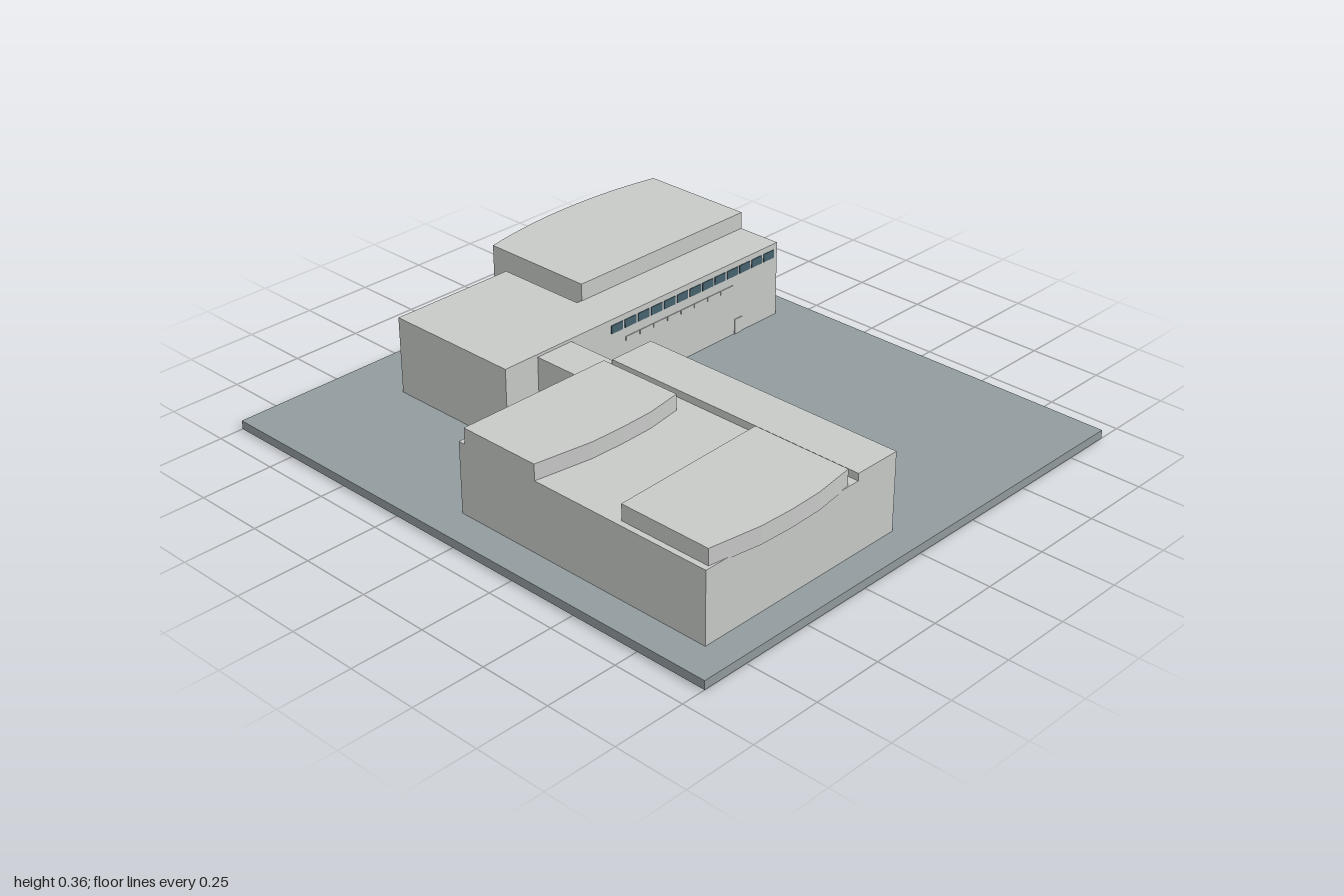
import * as THREE from 'three';

export function createModel() {
  const root = new THREE.Group();
  const mat = (name, color) => {
    const m = new THREE.MeshStandardMaterial({ color });
    m.name = name;
    return m;
  };
  const wall = mat('pale wall', 0xc8cac8);
  const paving = mat('paving', 0x919b9d);
  const glass = mat('glass', 0x46636e);

  const group = (name) => {
    const g = new THREE.Group();
    g.name = name;
    root.add(g);
    return g;
  };
  const add = (parent, name, geo, m) => {
    const mesh = new THREE.Mesh(geo, m);
    mesh.name = name;
    parent.add(mesh);
    return mesh;
  };
  // box given by its minimum and maximum on each axis
  const block = (parent, name, x0, x1, y0, y1, z0, z1, m = wall) => {
    const mesh = add(parent, name, new THREE.BoxGeometry(x1 - x0, y1 - y0, z1 - z0), m);
    mesh.position.set((x0 + x1) / 2, (y0 + y1) / 2, (z0 + z1) / 2);
    return mesh;
  };
  // flat slab from an outline of [x, z] points
  const slab = (parent, name, pts, y0, y1) => {
    const shape = new THREE.Shape(pts.map(([x, z]) => new THREE.Vector2(x, -z)));
    const geo = new THREE.ExtrudeGeometry(shape, { depth: y1 - y0, bevelEnabled: false });
    geo.rotateX(-Math.PI / 2);
    geo.translate(0, y0, 0);
    return add(parent, name, geo, wall);
  };

  const G = 0.03;
  block(root, 'ground', -0.915, 0.915, 0, G, -1, 1, paving);

  // South wing: low hall plus a taller strip pierced by a recessed entrance
  const south = group('southWing');
  block(south, 'hall', -0.8, -0.17, G, 0.275, -0.085, 0.895);
  block(south, 'stripFront', -0.17, 0, G, 0.3, 0.45, 0.895);
  block(south, 'stripBack', -0.17, 0, G, 0.3, -0.085, 0.22);
  block(south, 'entranceLintel', -0.17, 0, 0.215, 0.3, 0.22, 0.45);
  block(south, 'entranceStep', -0.13, -0.07, G, 0.115, 0.22, 0.45);
  block(south, 'entranceLanding', -0.17, -0.13, G, 0.135, 0.22, 0.45);
  slab(south, 'frontRoof', [[-0.78, 0.56], [-0.21, 0.54], [-0.21, 0.89],
    [-0.36, 0.912], [-0.48, 0.916], [-0.6, 0.912], [-0.78, 0.885]], 0.27, 0.33);
  slab(south, 'backRoof', [[-0.8, -0.06], [-0.23, -0.06], [-0.23, 0.245],
    [-0.36, 0.265], [-0.48, 0.268], [-0.6, 0.265], [-0.8, 0.235]], 0.27, 0.33);

  // shallow window surrounds on the courtyard face
  for (let i = 0; i < 16; i++) {
    const z = -0.055 + i * 0.06;
    block(south, 'upperWindow', -0.004, 0.003, 0.255, 0.28, z - 0.015, z + 0.015);
    if (z > 0.19 && z < 0.48) continue;
    block(south, 'middleWindow', -0.004, 0.003, 0.15, 0.215, z - 0.013, z + 0.013);
    block(south, 'lowerWindow', -0.004, 0.003, 0.05, 0.115, z - 0.013, z + 0.013);
  }

  block(root, 'connector', -0.305, -0.16, G, 0.29, -0.276, -0.084);

  // North wing: long range with a block behind its west end
  const north = group('northWing');
  block(north, 'longRange', -0.44, 0.81, G, 0.3, -0.44, -0.275);
  block(north, 'westBlock', -0.44, 0.025, G, 0.3, -0.775, -0.44);
  for (let i = 0; i < 13; i++) {
    const x = 0.015 + i * 0.0605;
    block(north, 'ribbonWindow', x, x + 0.051, 0.25, 0.279, -0.278, -0.272, glass);
  }
  for (let i = 0; i < 8; i++) {
    const x = 0.08 + i * 0.064;
    block(north, 'slitWindow', x, x + 0.06, 0.202, 0.217, -0.278, -0.272);
  }
  for (const x of [0.02, 0.6]) block(north, 'door', x, x + 0.035, G, 0.085, -0.278, -0.272);

  // Raised volume on columns with a bowed rear face
  const raised = group('raisedVolume');
  const X0 = 0.045, X1 = 0.81, mid = (X0 + X1) / 2, half = (X1 - X0) / 2;
  const rearZ = (x) => -0.898 + 0.04 * ((x - mid) / half) ** 2;
  const outline = [[X1, -0.438], [X0, -0.438]];
  for (let i = 0; i <= 16; i++) {
    const x = X0 + (X1 - X0) * i / 16;
    outline.push([x, rearZ(x)]);
  }
  slab(raised, 'upperFloors', outline, 0.115, 0.36);

  // columns below
  for (let i = 0; i < 6; i++) {
    const x = 0.075 + i * 0.138;
    for (const z of [rearZ(x) + 0.03, -0.655, -0.485]) {
      block(raised, 'column', x - 0.013, x + 0.013, G, 0.118, z - 0.013, z + 0.013);
    }
  }

  // window grids on the rear and east faces
  const rows = 7, bays = 20;
  for (let r = 0; r < rows; r++) {
    const y = 0.14 + r * 0.0325;
    for (let b = 0; b < bays; b++) {
      const x = X0 + (b + 0.5) * (X1 - X0) / bays;
      const w = add(raised, 'rearWindow', new THREE.BoxGeometry(0.026, 0.021, 0.008),
        x < 0.52 && b % 4 !== 3 ? glass : wall);
      w.position.set(x, y, rearZ(x));
      w.rotation.y = -Math.atan(0.08 * (x - mid) / half ** 2);
    }
    for (let b = 0; b < 10; b++) {
      const z = -0.465 - b * 0.0415;
      block(raised, 'eastWindow', 0.806, 0.812, y - 0.0105, y + 0.0105, z - 0.015, z + 0.015);
    }
  }
  return root;
}
